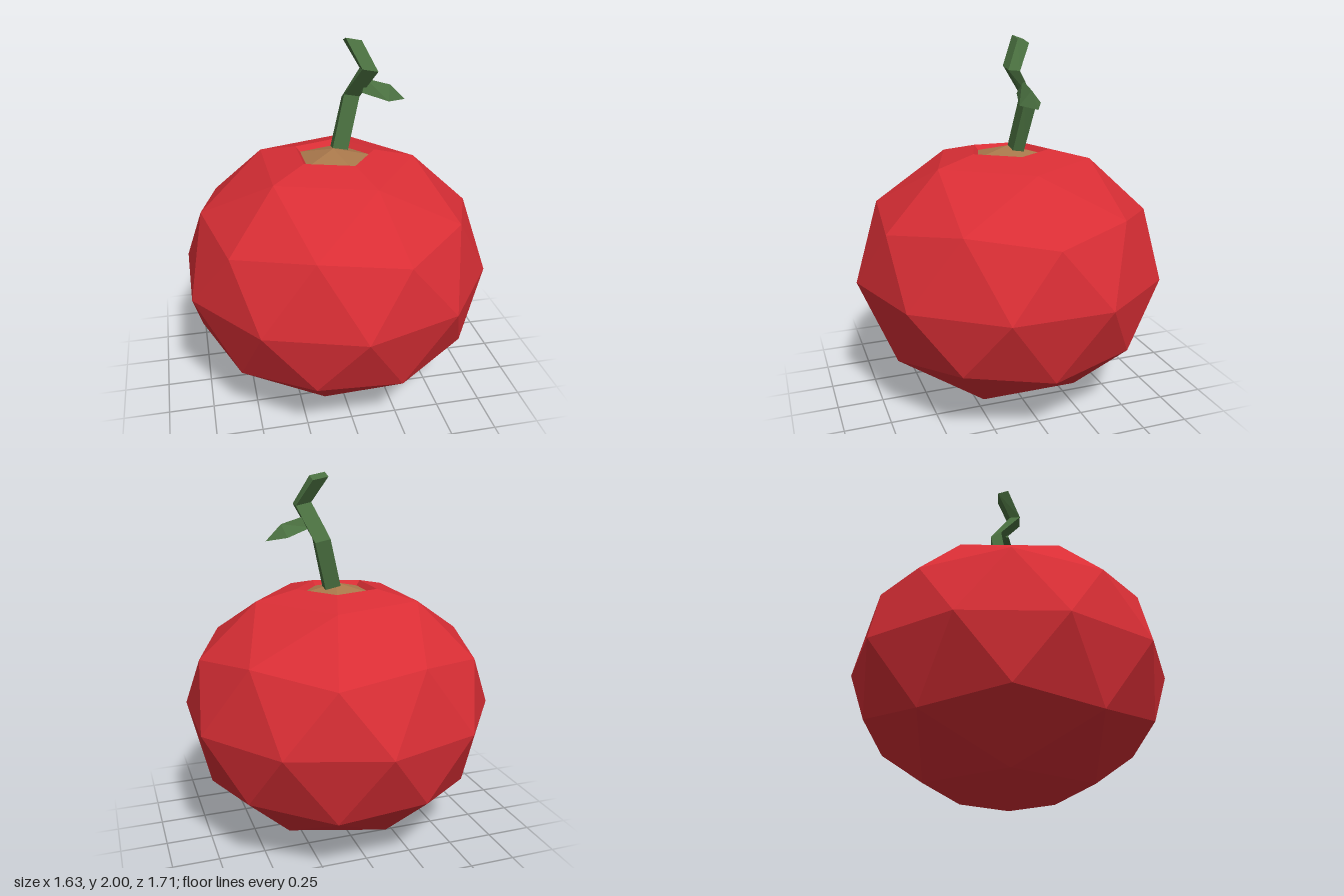
import * as THREE from 'three';

const TAU = Math.PI * 2;
const MID = 0.725; // height of the widest ring
const RADIUS = 0.857;

const red = new THREE.MeshStandardMaterial({ color: 0xd92e35, flatShading: true });
const brown = new THREE.MeshStandardMaterial({ color: 0xa9784b, flatShading: true, side: THREE.DoubleSide });
const green = new THREE.MeshStandardMaterial({ color: 0x4a7040, flatShading: true });

// Point at radius r, height y, and azimuth in fifths of a turn
const polar = (r, y, fifth) =>
  new THREE.Vector3(r * Math.cos(fifth * TAU / 5), y, r * Math.sin(fifth * TAU / 5));

// Collects triangles, each turned to face away from a given inner point
function makeFaces() {
  const points = [];
  const tri = (a, b, c, inner) => {
    const n = b.clone().sub(a).cross(c.clone().sub(a));
    const mid = a.clone().add(b).add(c).divideScalar(3).sub(inner);
    points.push(...(n.dot(mid) >= 0 ? [a, b, c] : [a, c, b]));
  };
  const quad = (a, b, c, d, inner) => { tri(a, b, c, inner); tri(a, c, d, inner); };
  const mesh = (name, material) => {
    const g = new THREE.BufferGeometry().setFromPoints(points);
    g.computeVertexNormals();
    const m = new THREE.Mesh(g, material);
    m.name = name;
    return m;
  };
  return { tri, quad, mesh };
}

// Faceted fruit: two icosphere halves, the upper one with a sunken pentagon
function makeFruit() {
  const f = makeFaces();
  const centre = new THREE.Vector3(0, MID, 0);
  for (const [up, shift] of [[1, 0], [-1, 0.5]]) {
    const at = (sin, cos, k) => polar(RADIUS * sin, MID + up * MID * cos, k + shift);
    const crown = k => at(0.5257, 0.8507, k);
    const main = k => at(0.8944, 0.4472, k);
    const between = k => at(0.8507, 0.5257, k + 0.5);
    const equator = k => at(1, 0, k);
    for (let k = 0; k < 5; k++) {
      const a = crown(k), b = crown(k + 1), m = between(k);
      const u = main(k), v = main(k + 1);
      const e = equator(k + 0.25), g = equator(k + 0.75);
      f.tri(a, b, m, centre);
      f.tri(a, m, u, centre);
      f.tri(b, v, m, centre);
      f.tri(u, m, e, centre);
      f.tri(m, g, e, centre);
      f.tri(m, v, g, centre);
      f.tri(u, e, equator(k - 0.25), centre);
      if (up < 0) {
        f.tri(a, b, new THREE.Vector3(0, 0, 0), centre);
      } else {
        const r0 = polar(0.228, 1.394, k), r1 = polar(0.228, 1.394, k + 1);
        f.quad(r0, r1, b, a, centre);
        // Wall of the recess, facing inwards
        f.quad(r0, r1, polar(0.2, 1.367, k + 1), polar(0.2, 1.367, k), polar(0.6, 1.3, k + 0.5));
      }
    }
  }
  return f.mesh('fruit', red);
}

// Shallow cone filling the recess
function makeStemBed() {
  const f = makeFaces();
  for (let k = 0; k < 5; k++) {
    f.tri(polar(0.2, 1.367, k), polar(0.2, 1.367, k + 1),
      new THREE.Vector3(0, 1.416, 0), new THREE.Vector3(0, 1, 0));
  }
  return f.mesh('stemBed', brown);
}

// Crooked four-sided stem: centre of each joint and the tilt of its ring
function makeStem() {
  const joints = [
    [0.04, 1.405, -0.033, 0.15],
    [0.11, 1.675, -0.075, 0.5],
    [0.178, 1.845, 0.042, 0.1],
    [0.107, 1.985, -0.033, 0.35],
  ];
  const corners = [[-1, -1], [1, -1], [1, 1], [-1, 1]];
  const rings = joints.map(([x, y, z, tilt]) => corners.map(([sx, sz]) => {
    const dx = sx * 0.042, dz = sz * 0.031;
    return new THREE.Vector3(x + dx, y - 0.2 * dx + tilt * dz, z + dz);
  }));
  const f = makeFaces();
  const middle = r => r[0].clone().add(r[2]).multiplyScalar(0.5);
  for (let j = 0; j < 3; j++) {
    const [lo, hi] = [rings[j], rings[j + 1]];
    const inner = middle(lo).add(middle(hi)).multiplyScalar(0.5);
    for (let i = 0; i < 4; i++) {
      const n = (i + 1) % 4;
      f.quad(lo[i], lo[n], hi[n], hi[i], inner);
    }
  }
  f.quad(...rings[0], middle(rings[1]));
  f.quad(...rings[3], middle(rings[2]));
  return f.mesh('stem', green);
}

// Thin ridged leaf: triangular sections narrowing to a point
function makeLeaf() {
  const section = (x, top, low, front, back) => [
    new THREE.Vector3(x + 0.02, top, -0.018),
    new THREE.Vector3(x, low, front),
    new THREE.Vector3(x, low + 0.01, back),
  ];
  const root = section(0.155, 1.785, 1.715, 0.005, -0.045);
  const wide = section(0.29, 1.745, 1.67, 0.04, -0.075);
  const tip = new THREE.Vector3(0.395, 1.66, -0.02);
  const inner = new THREE.Vector3(0.25, 1.71, -0.018);
  const f = makeFaces();
  for (let i = 0; i < 3; i++) {
    const n = (i + 1) % 3;
    f.quad(root[i], root[n], wide[n], wide[i], inner);
    f.tri(wide[i], wide[n], tip, inner);
  }
  f.tri(...root, inner);
  return f.mesh('leaf', green);
}

export function createModel() {
  const model = new THREE.Group();
  model.name = 'fruitWithStem';
  model.add(makeFruit(), makeStemBed(), makeStem(), makeLeaf());
  return model;
}
